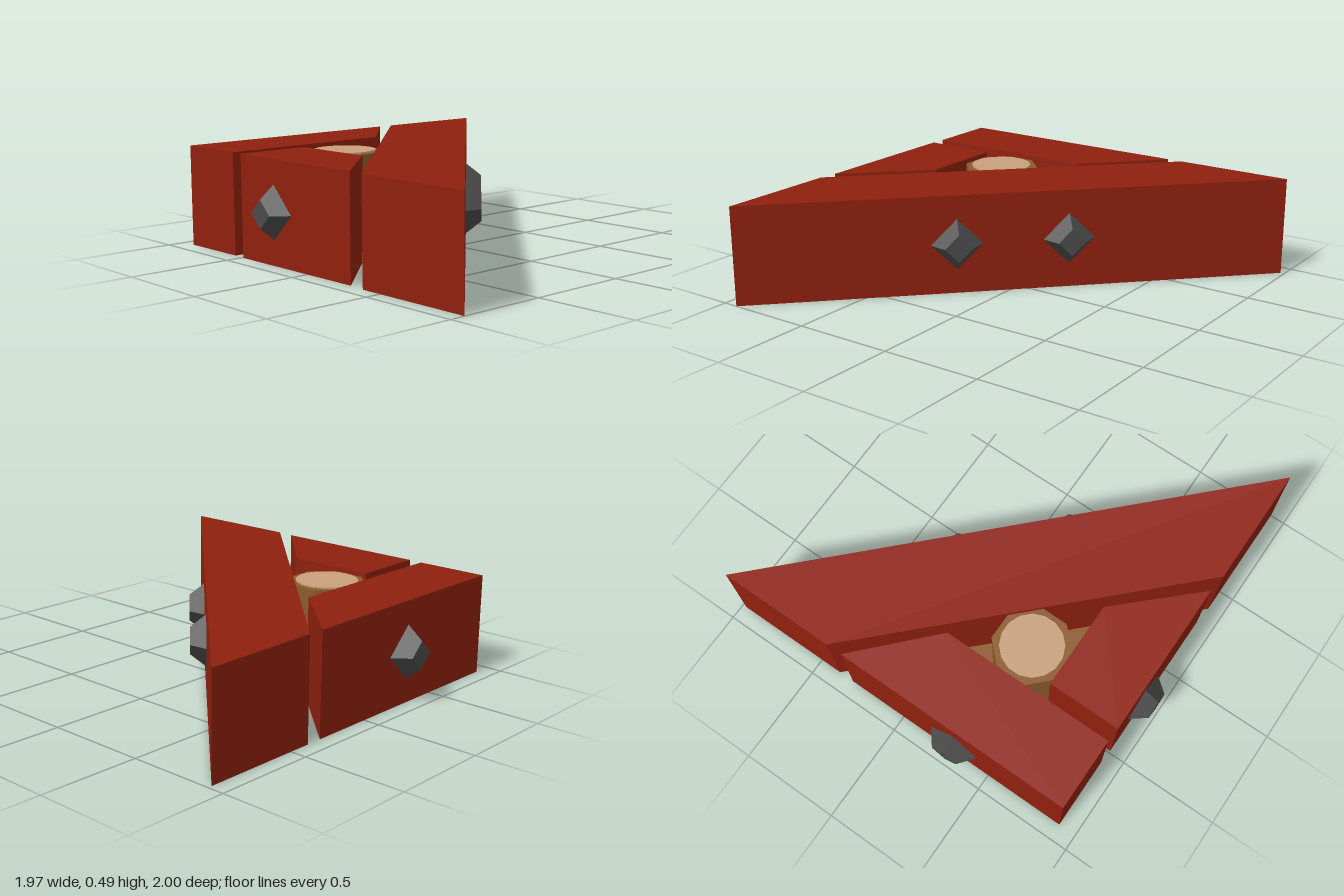
import * as THREE from 'three';

const mat = (name, color) => {
  const m = new THREE.MeshStandardMaterial({ color, flatShading: true });
  m.name = name;
  return m;
};

// Upright prism from a plan outline of [x, z] points
function prism(name, points, y0, y1, material) {
  const shape = new THREE.Shape(points.map(([x, z]) => new THREE.Vector2(x, -z)));
  const geo = new THREE.ExtrudeGeometry(shape, { depth: y1 - y0, bevelEnabled: false });
  geo.rotateX(-Math.PI / 2);
  const mesh = new THREE.Mesh(geo, material);
  mesh.position.y = y0;
  mesh.name = name;
  return mesh;
}

// Upright faceted drum
function drum(name, radius, sides, y0, y1, material) {
  const geo = new THREE.CylinderGeometry(radius, radius, y1 - y0, sides);
  geo.rotateY(Math.PI / sides);
  const mesh = new THREE.Mesh(geo, material);
  mesh.position.set(-0.38, (y0 + y1) / 2, -0.385);
  mesh.name = name;
  return mesh;
}

export function createModel() {
  const red = mat('red paint', 0x8f200e);
  const brown = mat('brown wood', 0x8b5a2b);
  const tan = mat('pale wood', 0xc8a07c);
  const iron = mat('dark iron', 0x4a4a4a);
  const group = new THREE.Group();
  group.name = 'triangularBlock';

  // Three red slabs separated by narrow gaps
  const top = 0.493;
  group.add(
    prism('backSlab', [[-0.91, -0.92], [-0.91, -0.56], [-0.03, -0.56], [0.31, -0.92]], 0, top, red),
    prism('sideSlab', [[-0.915, -0.49], [-0.915, 0.3], [-0.55, -0.05], [-0.55, -0.49]], 0, top, red),
    prism('diagonalSlab', [[0.39, -0.92], [-0.925, 0.39], [-0.925, 1], [0.98, -0.92]], 0, top, red)
  );

  // Wooden floor and post in the middle
  group.add(
    prism('floorPlate', [[-0.6, -0.59], [-0.6, 0.28], [0.27, -0.59]], 0.01, 0.05, brown),
    drum('post', 0.19, 8, 0.005, 0.47, brown),
    drum('postTop', 0.152, 16, 0.47, 0.477, tan)
  );

  // Iron studs: truncated pyramids standing on a corner, pointing outwards
  const studGeo = new THREE.CylinderGeometry(0.068, 0.13, 0.078, 4);
  studGeo.translate(0, 0.039, 0);
  studGeo.rotateX(Math.PI / 2);
  const studs = [
    [-0.31, -0.92, Math.PI],
    [-0.913, -0.24, -Math.PI / 2],
    [-0.183, 0.248, Math.PI / 4],
    [0.205, -0.142, Math.PI / 4]
  ];
  for (const [x, z, turn] of studs) {
    const stud = new THREE.Mesh(studGeo, iron);
    stud.name = 'stud';
    stud.position.set(x, 0.248, z);
    stud.rotation.y = turn;
    group.add(stud);
  }
  return group;
}
